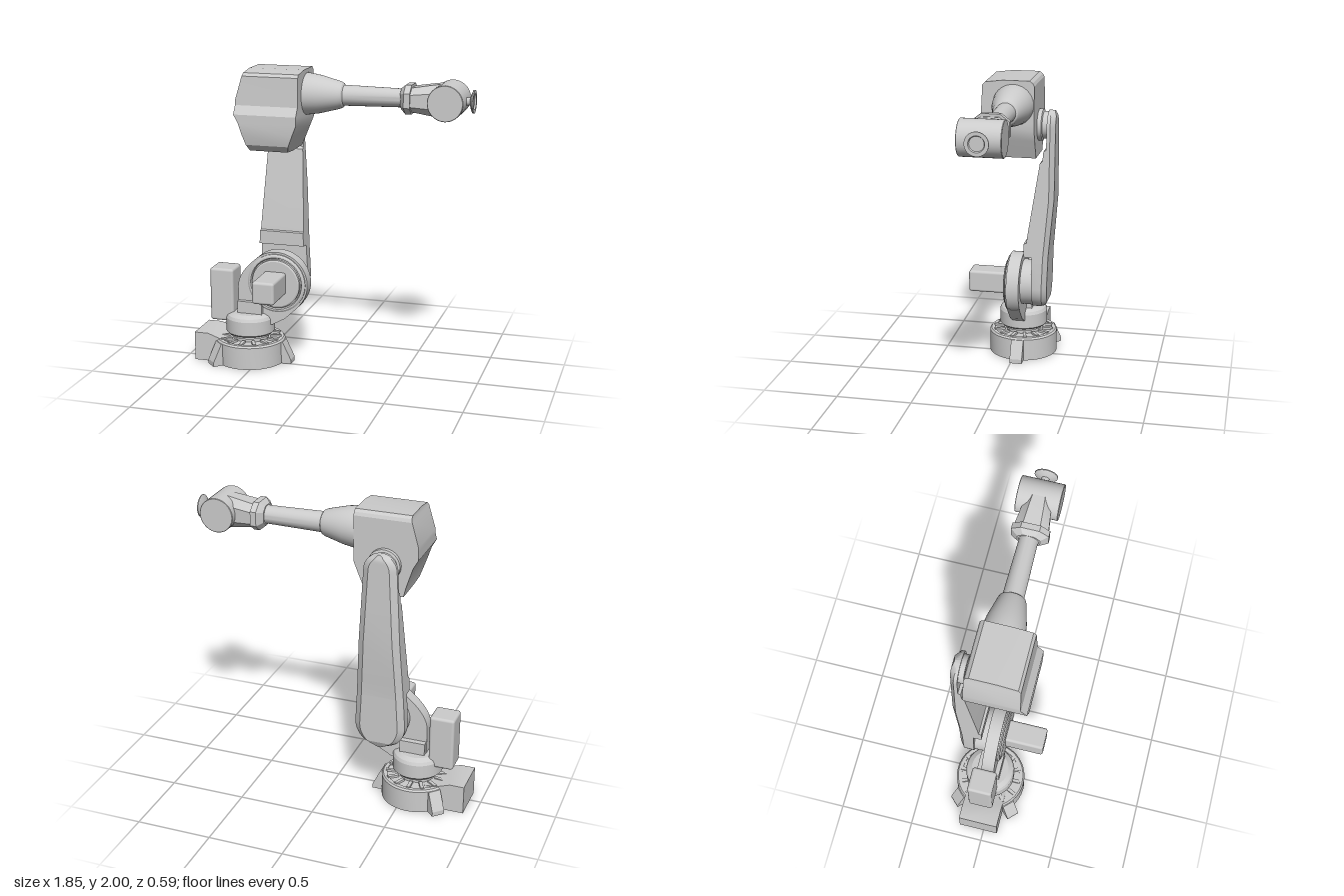
import * as THREE from 'three';
import { toCreasedNormals } from 'three/addons/utils/BufferGeometryUtils.js';
import { RoundedBoxGeometry } from 'three/addons/geometries/RoundedBoxGeometry.js';

const MID = -0.037; // depth of the main centre plane
const JOINT_X = -0.365; // shared x of shoulder and elbow

export function createModel() {
  const root = new THREE.Group();
  const material = new THREE.MeshStandardMaterial({ color: 0xcccccc });

  function add(name, geometry, x = 0, y = 0, z = 0, parent = root) {
    const mesh = new THREE.Mesh(geometry, material);
    mesh.name = name;
    mesh.position.set(x, y, z);
    parent.add(mesh);
    return mesh;
  }

  // Turned part from [radius, height] pairs; axis picks the direction of height
  function turned(profile, axis = 'y', segments = 40) {
    let g = new THREE.LatheGeometry(profile.map(([r, h]) => new THREE.Vector2(r, h)), segments);
    g = toCreasedNormals(g, 0.45);
    if (axis === 'x') g.rotateZ(-Math.PI / 2);
    if (axis === 'z') g.rotateX(Math.PI / 2);
    return g;
  }

  // Plate drawn in x/y, centred in depth
  function plate(shape, depth, bevel = 0) {
    const g = new THREE.ExtrudeGeometry(shape, {
      depth: depth - 2 * bevel, bevelEnabled: bevel > 0, bevelSize: bevel,
      bevelThickness: bevel, bevelOffset: -bevel, bevelSegments: 1, curveSegments: 24,
    });
    return toCreasedNormals(g.translate(0, 0, bevel - depth / 2), 0.45);
  }
  const polygon = (pts) => new THREE.Shape(pts.map(([x, y]) => new THREE.Vector2(x, y)));

  // Skin over convex rings stacked upward; rings run +x+z, +x-z, -x-z, -x+z
  function loft(rings) {
    const n = rings[0].length;
    const index = [];
    for (let k = 0; k < rings.length - 1; k++) {
      for (let i = 0; i < n; i++) {
        const a = k * n + i, b = k * n + (i + 1) % n;
        index.push(a, b, a + n, b, b + n, a + n);
      }
    }
    const top = (rings.length - 1) * n;
    for (let i = 1; i < n - 1; i++) {
      index.push(0, i + 1, i, top, top + i, top + i + 1);
    }
    const g = new THREE.BufferGeometry();
    g.setAttribute('position', new THREE.Float32BufferAttribute(rings.flat(2), 3));
    g.setIndex(index);
    return toCreasedNormals(g, 0.4);
  }

  // Piecewise linear lookup in [position, value] pairs
  function lookup(table, t) {
    for (let i = 1; i < table.length; i++) {
      const [t0, v0] = table[i - 1], [t1, v1] = table[i];
      if (t <= t1) return v0 + (v1 - v0) * Math.max(0, (t - t0) / (t1 - t0));
    }
    return table[table.length - 1][1];
  }

  // Base: drum, ribs, three feet and connector box
  const base = new THREE.Group();
  base.name = 'base';
  base.position.set(-0.57, 0, MID);
  root.add(base);
  add('baseDrum', turned([[0, 0], [0.235, 0], [0.235, 0.15], [0.225, 0.162], [0.2, 0.162],
    [0.2, 0.155], [0.12, 0.155], [0.12, 0.18], [0.135, 0.18], [0.135, 0.205], [0, 0.205]]), 0, 0, 0, base);
  for (let i = 0; i < 14; i++) {
    const a = (i + 0.5) / 14 * Math.PI * 2;
    const rib = add('baseRib', new THREE.BoxGeometry(0.075, 0.02, 0.022),
      Math.cos(a) * 0.172, 0.16, -Math.sin(a) * 0.172, base);
    rib.rotation.y = a;
  }
  const footShape = polygon([[0.19, 0], [0.298, 0], [0.298, 0.03], [0.24, 0.15], [0.19, 0.15]]);
  for (const degrees of [0, 135, 225]) {
    add('foot', plate(footShape, 0.085), 0, 0, 0, base).rotation.y = THREE.MathUtils.degToRad(degrees);
  }
  add('connectorBox', plate(polygon([[-0.925, 0], [-0.6, 0], [-0.6, 0.15], [-0.745, 0.165],
    [-0.83, 0.195], [-0.925, 0.195]]), 0.265), 0, 0, MID);

  // Turntable with its upright motor
  add('turntable', turned([[0, 0.2], [0.155, 0.2], [0.165, 0.21], [0.165, 0.305], [0.155, 0.325],
    [0.125, 0.343], [0, 0.345]]), -0.57, 0, MID);
  add('turntableMotor', new RoundedBoxGeometry(0.165, 0.365, 0.165, 3, 0.018), -0.747, 0.458, -0.042);
  add('pedestal', new THREE.BoxGeometry(0.17, 0.13, 0.155), -0.55, 0.36, MID);

  // Shoulder bracket rising from the turntable to the shoulder joint
  const bracket = new THREE.Shape();
  bracket.moveTo(-0.4, 0.27);
  bracket.lineTo(-0.31, 0.32);
  bracket.lineTo(-0.205, 0.42);
  bracket.absarc(JOINT_X, 0.565, 0.213, -0.73, 2.3, false);
  bracket.quadraticCurveTo(-0.635, 0.62, -0.638, 0.52);
  bracket.lineTo(-0.638, 0.3);
  bracket.lineTo(-0.55, 0.27);
  add('shoulderBracket', plate(bracket, 0.085), 0, 0, -0.033);
  add('shoulderFlange', turned([[0, 0], [0.2, 0], [0.2, 0.018], [0.188, 0.026], [0.178, 0.026],
    [0.172, 0.012], [0.165, 0.012], [0.165, 0.034], [0.155, 0.04], [0, 0.04]], 'z'), JOINT_X, 0.565, 0);
  add('shoulderHub', turned([[0, -0.2], [0.155, -0.2], [0.155, -0.05], [0, -0.05]], 'z'), JOINT_X, 0.575, 0);
  add('shoulderMotor', new RoundedBoxGeometry(0.15, 0.15, 0.28, 3, 0.018), -0.367, 0.575, 0.155);

  // Lower arm: tapered capsule outline with stepped front and chamfered back
  const yLow = 0.58, rLow = 0.167, yHigh = 1.667, rHigh = 0.108;
  const front = [[0.41, -0.155], [0.797, -0.155], [0.8, -0.1], [0.89, -0.1], [0.895, -0.118], [0.95, -0.125],
    [1.44, -0.2], [1.455, -0.217], [1.52, -0.222], [1.53, -0.24], [1.78, -0.24]];
  const back = [[0.413, -0.225], [0.46, -0.25], [0.8, -0.26], [1.195, -0.293], [1.74, -0.293], [1.775, -0.28]];
  const heights = front.slice(1, -1).map((p) => p[0]).concat(1.195);
  for (let i = 0; i <= 10; i++) {
    const c = Math.cos(i / 10 * Math.PI / 2);
    heights.push(yLow - rLow * c, yHigh + rHigh * c);
  }
  heights.sort((a, b) => a - b);
  const armRings = heights.map((y) => {
    let w = THREE.MathUtils.mapLinear(y, yLow, yHigh, rLow, rHigh);
    if (y < yLow) w = Math.sqrt(Math.max(0, rLow ** 2 - (yLow - y) ** 2));
    if (y > yHigh) w = Math.sqrt(Math.max(0, rHigh ** 2 - (y - yHigh) ** 2));
    w = Math.max(w, 0.012);
    const zf = lookup(front, y), zb = lookup(back, y);
    const cx = Math.min(0.04, w * 0.6), cz = 0.03;
    return [[w, zf], [w, zb + cz], [w - cx, zb], [cx - w, zb], [-w, zb + cz], [-w, zf]]
      .map(([x, z]) => [JOINT_X + x, y, z]);
  });
  add('lowerArm', loft(armRings));

  // Elbow joint and head housing
  add('elbowJoint', turned([[0, -0.26], [0.09, -0.26], [0.09, -0.207], [0.105, -0.202],
    [0.105, -0.16], [0, -0.16]], 'z'), JOINT_X, 1.675, 0);
  // rows: height, left x, right x, back z, front z
  const headRows = [
    [1.475, -0.488, -0.24, -0.175, 0.03], [1.485, -0.49, -0.236, -0.175, 0.145],
    [1.53, -0.5, -0.217, -0.175, 0.195], [1.6, -0.522, -0.188, -0.175, 0.212],
    [1.67, -0.545, -0.16, -0.175, 0.212], [1.725, -0.576, -0.16, -0.175, 0.212],
    [1.78, -0.576, -0.16, -0.175, 0.175], [1.81, -0.576, -0.16, -0.175, 0.173],
    [1.965, -0.532, -0.16, -0.175, 0.165], [1.985, -0.526, -0.16, -0.165, 0.148], [2, -0.525, -0.16, -0.145, 0.03],
  ];
  add('headHousing', loft(headRows.map(([y, x0, x1, z0, z1]) =>
    [[x1, y, z1], [x1, y, z0], [x0, y, z0], [x0, y, z1]])));

  // Forearm tube
  add('forearm', turned([[0, -0.2], [0.135, -0.2], [0.135, -0.155], [0.122, -0.07], [0.088, 0.06],
    [0.078, 0.08], [0.066, 0.088], [0.059, 0.46], [0.068, 0.475], [0.085, 0.5], [0, 0.5]], 'x'), 0, 1.84, MID);

  // Eight-sided wrist parts lofted along x; rows: x, half height, half depth
  function octagonLoft(rows) {
    return loft(rows.map(([x, u, v]) => {
      const a = u * 0.5, b = v * 0.5;
      return [[u, b], [u, -b], [a, -v], [-a, -v], [-u, -b], [-u, b], [-a, v], [a, v]]
        .map(([p, q]) => [p, x, q]);
    })).rotateZ(-Math.PI / 2);
  }
  add('wristCollar', octagonLoft([[0.465, 0.065, 0.07], [0.498, 0.092, 0.117], [0.537, 0.092, 0.117]]), 0, 1.84, MID);
  add('wristHousing', octagonLoft([[0.53, 0.075, 0.108], [0.65, 0.095, 0.092], [0.725, 0.106, 0.078]]), 0, 1.838, MID);
  add('wristBarrel', turned([[0, -0.135], [0.11, -0.135], [0.113, -0.132], [0.113, 0.132],
    [0.11, 0.135], [0, 0.135]], 'z'), 0.763, 1.837, MID);

  // Tool flange with a shallow recess
  add('toolFlange', turned([[0, 0.86], [0.025, 0.86], [0.025, 0.898], [0.045, 0.903], [0.07, 0.914],
    [0.073, 0.918], [0.073, 0.925], [0.05, 0.925], [0.045, 0.915], [0, 0.915]], 'x'), 0, 1.838, MID);

  return root;
}
